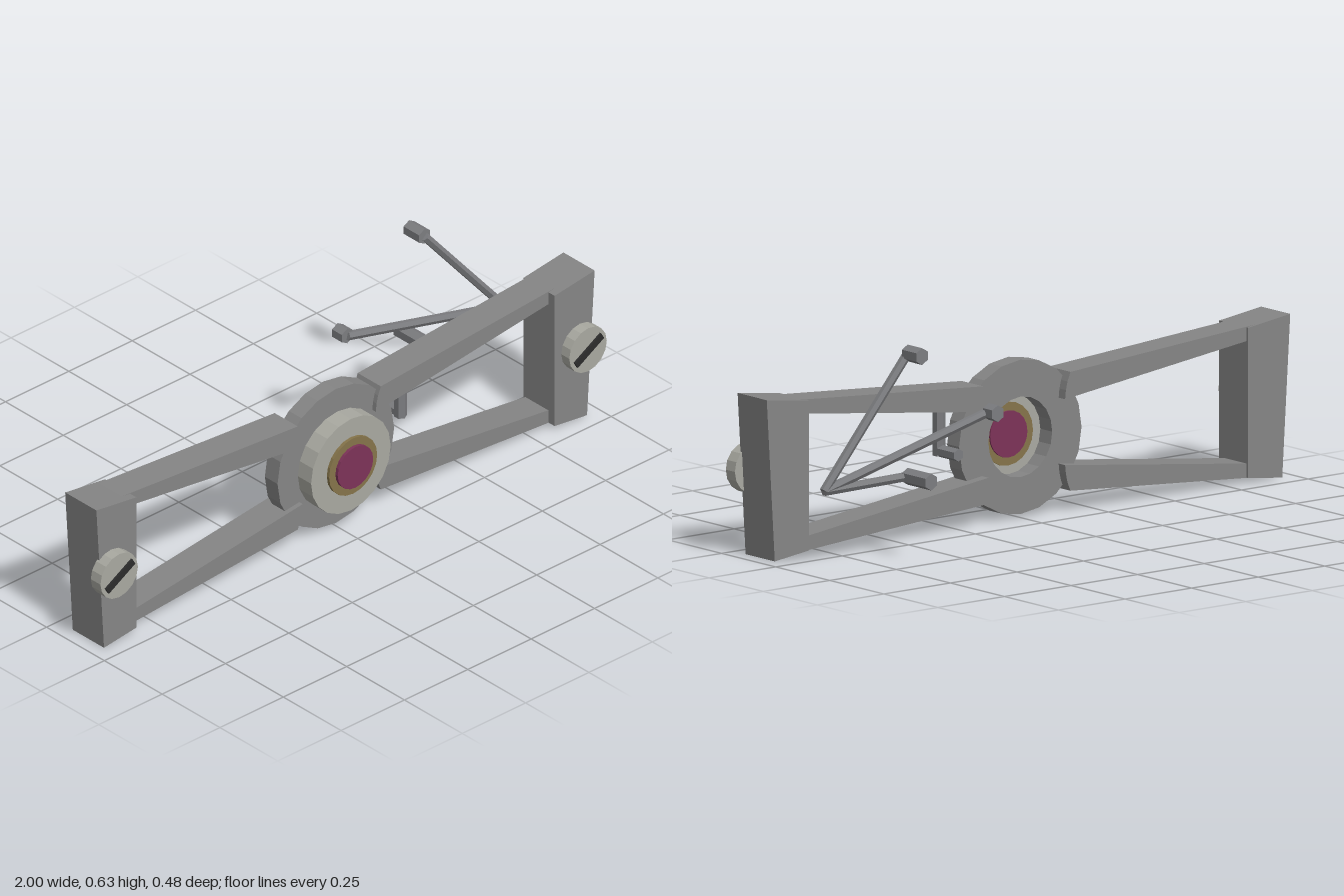
import * as THREE from 'three';

const mat = (name, color) => {
  const m = new THREE.MeshStandardMaterial({ color, flatShading: true });
  m.name = name;
  return m;
};

export function createModel() {
  const steel = mat('steel grey', 0x858585);
  const wire = mat('wire grey', 0x7c7d80);
  const pale = mat('pale metal', 0xa9a9a1);
  const brass = mat('brass', 0x85744a);
  const gem = mat('plum', 0x7d3358);
  const dark = mat('slot black', 0x2c2c2c);
  const root = new THREE.Group();
  const cy = 0.24;

  const add = (name, geometry, material) => {
    const mesh = new THREE.Mesh(geometry, material);
    mesh.name = name;
    root.add(mesh);
    return mesh;
  };

  // Outline in x and y, extruded between two depths
  const slab = (name, shape, z0, z1, material) => {
    const g = new THREE.ExtrudeGeometry(shape, { depth: z1 - z0, bevelEnabled: false, curveSegments: 24 });
    return add(name, g.translate(0, 0, z0), material);
  };
  const poly = (pts) => new THREE.Shape(pts.map(([x, y]) => new THREE.Vector2(x, y)));

  // Round plate facing the front
  const disc = (name, x, y, r, z0, z1, sides, material) => {
    const g = new THREE.CylinderGeometry(r, r, z1 - z0, sides).rotateX(Math.PI / 2);
    return add(name, g.translate(x, y, (z0 + z1) / 2), material);
  };

  // Straight six-sided rod between two points
  const rod = (name, a, b, r, material) => {
    const p = new THREE.Vector3(...a), q = new THREE.Vector3(...b);
    const mesh = add(name, new THREE.CylinderGeometry(r, r, p.distanceTo(q), 6), material);
    mesh.position.copy(p).add(q).multiplyScalar(0.5);
    mesh.quaternion.setFromUnitVectors(new THREE.Vector3(0, 1, 0), q.sub(p).normalize());
    return mesh;
  };

  // Central ring, open at the back
  const ring = new THREE.Shape();
  const hole = new THREE.Path();
  for (let i = 0; i < 20; i++) {
    const a = (i / 20) * Math.PI * 2, c = Math.cos(a), s = Math.sin(a);
    ring[i ? 'lineTo' : 'moveTo'](0.23 * c, cy + 0.23 * s);
    hole[i ? 'lineTo' : 'moveTo'](0.12 * c, cy + 0.12 * s);
  }
  ring.holes.push(hole);
  slab('centreRing', ring, 0.1, 0.155, steel);

  // Layered boss with the plum insert running through it
  disc('bossPlate', 0, cy, 0.157, 0.163, 0.22, 20, pale);
  disc('brassCollar', 0, cy, 0.095, 0.158, 0.23, 20, brass);
  disc('plumInsert', 0, cy, 0.07, 0.153, 0.24, 20, gem);

  for (const s of [1, -1]) {
    const side = s > 0 ? 'left' : 'right';
    // Tapered end post
    slab(side + 'EndPost', poly([
      [s * 0.983, 0.484], [s * 0.825, 0.463], [s * 0.825, 0.016], [s * 0.953, 0],
    ]), 0.062, 0.197, steel);

    // Upper and lower arms with a rounded inner end
    for (const v of [1, -1]) {
      slab(side + (v > 0 ? 'UpperArm' : 'LowerArm'), poly([
        [0.88, 0.229], [0.84, 0.184], [0.144, 0.098], [0.147, 0.125], [0.153, 0.15], [0.164, 0.177],
      ].map(([x, y]) => [s * x, cy + v * y])), 0.07, 0.17, steel);
    }

    // Slotted screw
    disc(side + 'ScrewHead', s * 0.925, 0.252, 0.074, 0.19, 0.232, 16, pale);
    const slot = add(side + 'ScrewSlot', new THREE.BoxGeometry(0.12, 0.022, 0.008), dark);
    slot.position.set(s * 0.925, 0.252, 0.235);
    slot.rotation.z = Math.PI / 6;
  }

  // Small bent hook under the upper arm
  rod('hookStem', [0.305, 0.38, 0.1], [0.305, 0.225, 0.1], 0.019, wire);
  rod('hookPeg', [0.305, cy, 0.105], [0.305, cy, 0.01], 0.019, wire);

  // Three wires fanning from one point, each ending in a peg
  const apex = [0.925, 0.236, -0.131];
  const ends = [[0.61, 0.607, -0.197], [0.305, 0.393, -0.172], [0.61, 0.24, -0.24]];
  for (const [x, y, z] of ends) {
    rod('fanWire', apex, [x, y, -0.131], 0.014, wire);
    rod('fanPeg', [x, y, -0.13], [x, y, z], 0.025, wire);
  }

  return root;
}
